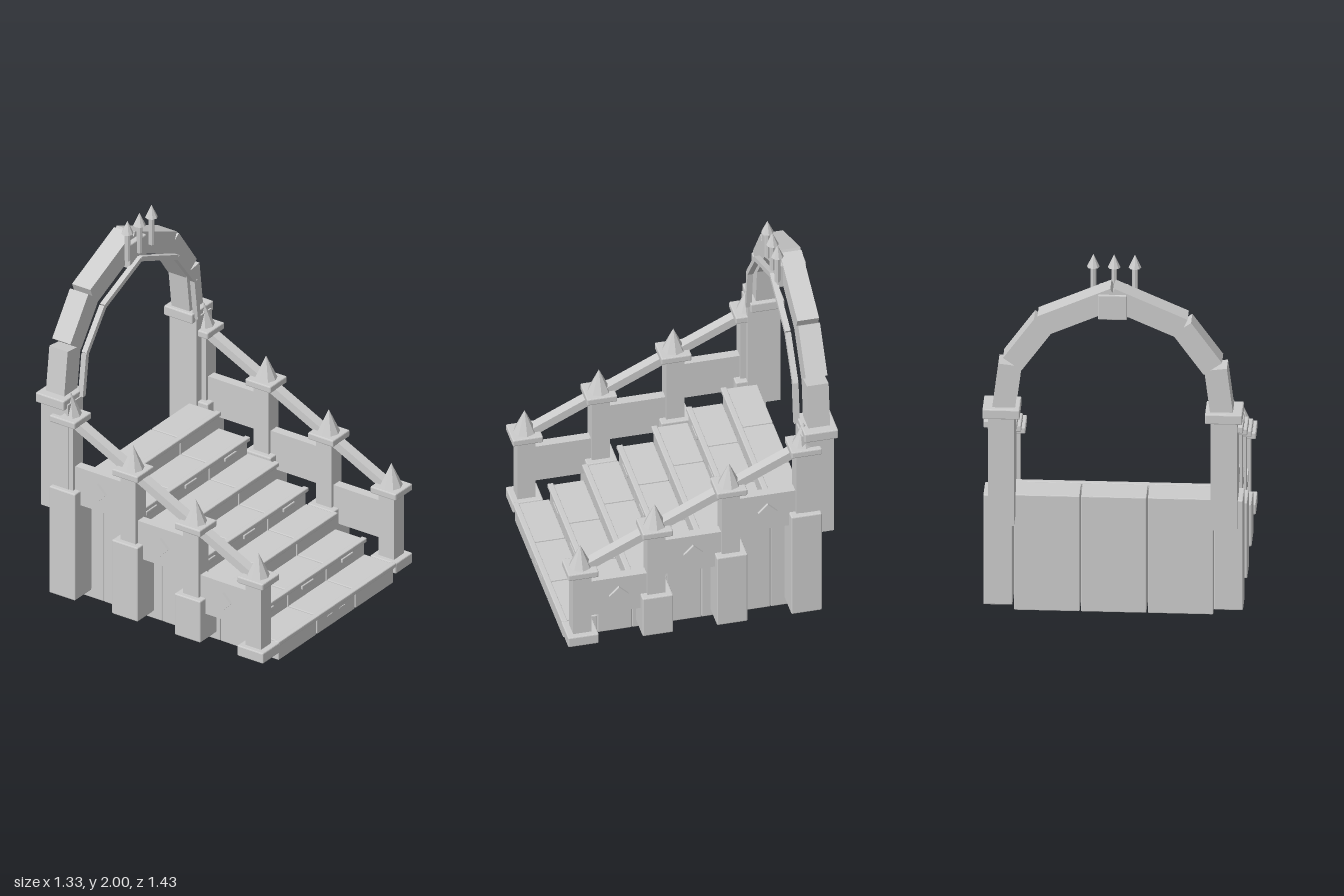
import * as THREE from 'three';
import { RoundedBoxGeometry } from 'three/addons/geometries/RoundedBoxGeometry.js';

const mat = new THREE.MeshStandardMaterial({ color: 0xcccccc, flatShading: true });

function add(parent, name, geometry, x, y, z) {
  const mesh = new THREE.Mesh(geometry, mat);
  mesh.name = name;
  mesh.position.set(x, y, z);
  parent.add(mesh);
  return mesh;
}

// Box given by its extents; a bevel softens the edges
function block(parent, name, [x0, x1], [y0, y1], [z0, z1], bevel = 0) {
  const size = [x1 - x0, y1 - y0, z1 - z0];
  const geometry = bevel ? new RoundedBoxGeometry(...size, 1, bevel) : new THREE.BoxGeometry(...size);
  return add(parent, name, geometry, (x0 + x1) / 2, (y0 + y1) / 2, (z0 + z1) / 2);
}

// Straight bar between two points of the xy plane
function barXY(parent, name, a, b, thickness, depth, z) {
  const dx = b[0] - a[0], dy = b[1] - a[1];
  const bar = add(parent, name, new THREE.BoxGeometry(Math.hypot(dx, dy), thickness, depth),
    (a[0] + b[0]) / 2, (a[1] + b[1]) / 2, z);
  bar.rotation.z = Math.atan2(dy, dx);
}

function cone(parent, name, radius, height, x, y, z) {
  add(parent, name, new THREE.ConeGeometry(radius, height, 8), x, y + height / 2, z);
}

function buildSteps() {
  const steps = new THREE.Group();
  steps.name = 'steps';
  for (let i = 0; i < 7; i++) {
    const front = 0.7 - 0.183 * i;
    const top = 0.11 + 0.09 * i;
    // three stone blocks side by side
    for (const c of [-1, 0, 1]) {
      block(steps, 'stepBlock', [c * 0.343 - 0.168, c * 0.343 + 0.168], [0, top],
        [front - 0.181, front], 0.004);
      // small raised plates on every second riser
      if (i % 2 === 1) {
        block(steps, 'riserPlate', [c * 0.353 - 0.05, c * 0.353 + 0.05],
          [top - 0.05, top - 0.026], [front - 0.005, front + 0.01], 0.004);
      }
    }
    block(steps, 'stepNosing', [-0.523, 0.523], [top - 0.022, top + 0.003],
      [front - 0.022, front + 0.01], 0.005);
  }
  for (const s of [-1, 1]) {
    block(steps, 'lowerPlate', [s * 0.053 - 0.022, s * 0.053 + 0.022], [0.06, 0.068], [0.69, 0.704]);
  }
  return steps;
}

// One balustrade, built on the +x side
function buildBalustrade() {
  const side = new THREE.Group();
  side.name = 'balustrade';
  const x = 0.592;
  const baseTops = [0.11, 0.29, 0.48, 0.67];
  const postZ = i => 0.63 - 0.393 * i;
  const capY = i => 0.493 + 0.191 * i;

  baseTops.forEach((baseTop, i) => {
    const z = postZ(i), y = capY(i);
    block(side, 'postBase', [x - 0.075, x + 0.075], [0.05, baseTop], [z - 0.081, z + 0.081], 0.006);
    block(side, 'post', [x - 0.045, x + 0.045], [0.07, y], [z - 0.048, z + 0.048]);
    block(side, 'postCap', [x - 0.075, x + 0.075], [y - 0.019, y + 0.019], [z - 0.08, z + 0.08], 0.006);
    cone(side, 'postFinial', 0.06, 0.13, x, y + 0.018, z);
  });

  // infill panels with a diamond on the outer face
  for (let i = 0; i < 3; i++) {
    const y = 0.308 + 0.194 * i;
    const z = (postZ(i) + postZ(i + 1)) / 2;
    block(side, 'panel', [x - 0.026, x + 0.026], [y - 0.108, y + 0.108], [z - 0.16, z + 0.16]);
    const diamond = add(side, 'panelDiamond', new THREE.BoxGeometry(0.03, 0.073, 0.073), x + 0.026, y + 0.003, z);
    diamond.rotation.x = Math.PI / 4;
  }

  // sloping handrail
  const dz = postZ(3) - postZ(0), dy = capY(3) - capY(0);
  const rail = add(side, 'handrail', new THREE.BoxGeometry(0.056, 0.045, Math.hypot(dz, dy)),
    x, (capY(0) + capY(3)) / 2, (postZ(0) + postZ(3)) / 2);
  rail.rotation.x = Math.atan2(dy, -dz);
  return side;
}

// Half of the gateway, built on the +x side
function buildArchHalf() {
  const half = new THREE.Group();
  half.name = 'archHalf';
  block(half, 'pillar', [0.505, 0.64], [0.53, 1.16], [-0.7, -0.53]);
  block(half, 'pillarCap', [0.476, 0.667], [1.135, 1.19], [-0.716, -0.538], 0.006);

  // three straight arch stones with open outer joints
  const stones = [
    [[0.563, 1.16], [0.529, 1.43]],
    [[0.515, 1.435], [0.356, 1.657]],
    [[0.362, 1.655], [-0.012, 1.82]],
  ];
  for (const [a, b] of stones) barXY(half, 'archStone', a, b, 0.117, 0.115, -0.627);

  // slim inner moulding in front of the arch
  const path = [[0.513, 1.16], [0.483, 1.395], [0.325, 1.6], [0, 1.735]];
  for (let i = 0; i < 3; i++) barXY(half, 'archMoulding', path[i], path[i + 1], 0.026, 0.03, -0.533);
  return half;
}

// Wraps a half built on +x together with its mirrored twin
function mirrored(build, name) {
  const pair = new THREE.Group();
  pair.name = name;
  const left = build();
  const right = build();
  right.scale.x = -1;
  pair.add(left, right);
  return pair;
}

export function createModel() {
  const model = new THREE.Group();
  model.name = 'gatedStaircase';
  model.add(buildSteps(), mirrored(buildBalustrade, 'balustrades'), mirrored(buildArchHalf, 'arch'));

  block(model, 'keystone', [-0.075, 0.075], [1.7, 1.84], [-0.693, -0.54], 0.006);

  // three spear finials over the keystone
  for (const x of [-0.107, 0, 0.107]) {
    add(model, 'spearShaft', new THREE.CylinderGeometry(0.015, 0.015, 0.17, 8), x, 1.855, -0.533);
    cone(model, 'spearTip', 0.033, 0.072, x, 1.928, -0.533);
  }
  return model;
}
